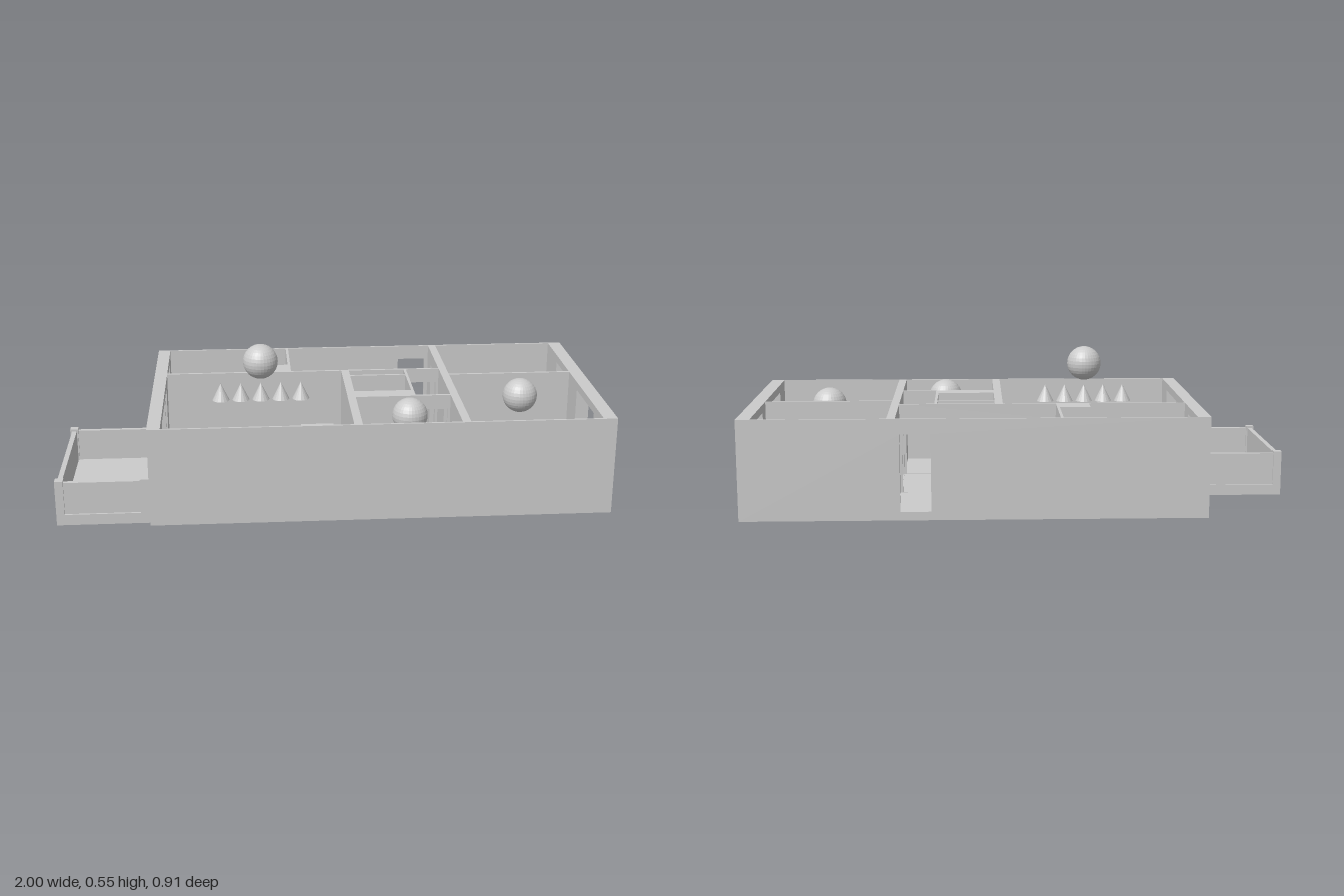
import * as THREE from 'three';

const WALL_TOP = 0.365;
const FLOOR_TOP = 0.03;
const DOOR_TOP = 0.31;

export function createModel() {
  const model = new THREE.Group();
  const material = new THREE.MeshStandardMaterial({ color: 0xcccccc, flatShading: true });

  function add(parent, name, geometry, x = 0, y = 0, z = 0) {
    const mesh = new THREE.Mesh(geometry, material);
    mesh.name = name;
    mesh.position.set(x, y, z);
    parent.add(mesh);
    return mesh;
  }

  // Box given by its limits on each axis
  function block(parent, name, x0, x1, y0, y1, z0, z1) {
    return add(parent, name, new THREE.BoxGeometry(x1 - x0, y1 - y0, z1 - z0),
      (x0 + x1) / 2, (y0 + y1) / 2, (z0 + z1) / 2);
  }

  // Upright slab from a to b; openings are [from, to, bottom, top]
  function wallGeometry(a, b, bottom, thickness, openings) {
    const rect = (path, u0, u1, v0, v1) =>
      path.moveTo(u0, v0).lineTo(u1, v0).lineTo(u1, v1).lineTo(u0, v1).closePath();
    const shape = rect(new THREE.Shape(), a, b, bottom, WALL_TOP);
    for (const [u0, u1, v0, v1] of openings) {
      shape.holes.push(rect(new THREE.Path(), u0, u1, v0, v1));
    }
    return new THREE.ExtrudeGeometry(shape, { depth: thickness, bevelEnabled: false });
  }

  function wallAlongX(parent, name, x0, x1, z0, z1, bottom, openings = []) {
    add(parent, name, wallGeometry(x0, x1, bottom, z1 - z0, openings), 0, 0, z0);
  }

  function wallAlongZ(parent, name, x0, x1, z0, z1, bottom, openings = []) {
    const geometry = wallGeometry(z0, z1, bottom, x1 - x0, openings).rotateY(-Math.PI / 2);
    add(parent, name, geometry, x1, 0, 0);
  }

  const door = (from, to, top = DOOR_TOP) => [from, to, FLOOR_TOP + 0.001, top];
  const windowHole = (from, to) => [from, to, 0.15, 0.335];

  // Floor and outer walls
  const shell = new THREE.Group();
  shell.name = 'outerShell';
  model.add(shell);
  block(shell, 'floor', -0.62, 0.95, 0, FLOOR_TOP, -0.447, 0.447);
  wallAlongX(shell, 'frontWall', -0.667, 1, 0.447, 0.455, 0);
  wallAlongX(shell, 'backWall', -0.667, 1, -0.455, -0.447, 0, [door(0.32, 0.43)]);
  wallAlongZ(shell, 'windowWall', 0.95, 1, -0.447, 0.447, 0,
    [windowHole(0.06, 0.315), windowHole(-0.28, -0.15)]);
  wallAlongZ(shell, 'balconyWall', -0.667, -0.62, -0.447, 0.447, 0,
    [windowHole(-0.355, -0.235), door(-0.065, 0.05, 0.335), windowHole(0.06, 0.315)]);

  // Room partitions
  const rooms = new THREE.Group();
  rooms.name = 'partitions';
  model.add(rooms);
  wallAlongZ(rooms, 'bedroomPartition', 0.445, 0.475, -0.447, 0.447, FLOOR_TOP,
    [door(-0.355, -0.235), door(0.02, 0.14)]);
  wallAlongX(rooms, 'bedroomDivider', 0.475, 0.95, -0.08, -0.07, FLOOR_TOP);
  wallAlongX(rooms, 'corridorPartition', -0.62, 0.445, -0.155, -0.145, FLOOR_TOP,
    [door(-0.1, 0.03), door(0.33, 0.435)]);
  wallAlongZ(rooms, 'kitchenPartition', -0.147, -0.137, -0.447, -0.235, FLOOR_TOP,
    [door(-0.36, -0.25)]);
  block(rooms, 'closetBlock', -0.26, -0.137, FLOOR_TOP, WALL_TOP, -0.235, -0.155);
  wallAlongZ(rooms, 'livingRoomPartition', 0.06, 0.09, -0.145, 0.447, FLOOR_TOP);
  wallAlongX(rooms, 'bathDivider', 0.09, 0.305, -0.09, -0.08, FLOOR_TOP);
  block(rooms, 'bathFrontWall', 0.09, 0.305, FLOOR_TOP, WALL_TOP, 0.1, 0.165);
  wallAlongZ(rooms, 'hallPartition', 0.305, 0.315, -0.145, 0.165, FLOOR_TOP,
    [door(-0.02, 0.08)]);
  wallAlongX(rooms, 'hallEndWall', 0.315, 0.445, 0.155, 0.165, FLOOR_TOP,
    [door(0.33, 0.435)]);

  // Balcony with corner posts and recessed parapet panels
  const balcony = new THREE.Group();
  balcony.name = 'balcony';
  model.add(balcony);
  block(balcony, 'balconyFloor', -1, -0.667, 0, 0.04, -0.115, 0.43);
  for (const x of [-1, -0.7]) {
    for (const z of [-0.115, 0.4]) {
      block(balcony, 'balconyPost', x, x + (x < -0.9 ? 0.03 : 0.033), 0.04, 0.168, z, z + 0.03);
    }
  }
  for (const z of [-0.108, 0.407]) {
    block(balcony, 'sideParapet', -0.97, -0.7, 0.04, 0.16, z, z + 0.016);
  }
  block(balcony, 'endParapet', -0.993, -0.975, 0.04, 0.16, -0.085, 0.4);

  // Ceiling lamps
  const lamps = new THREE.Group();
  lamps.name = 'lamps';
  model.add(lamps);
  for (const [x, y, z] of [[-0.26, 0.484, 0.078], [0.28, 0.327, 0.268], [0.725, 0.327, 0.078]]) {
    add(lamps, 'globeLamp', new THREE.SphereGeometry(0.065, 32, 16), x, y, z);
  }
  for (let i = -2; i <= 2; i++) {
    add(lamps, 'coneLamp', new THREE.ConeGeometry(0.032, 0.065, 16), -0.26 + i * 0.075, 0.368, 0.078);
  }

  return model;
}
